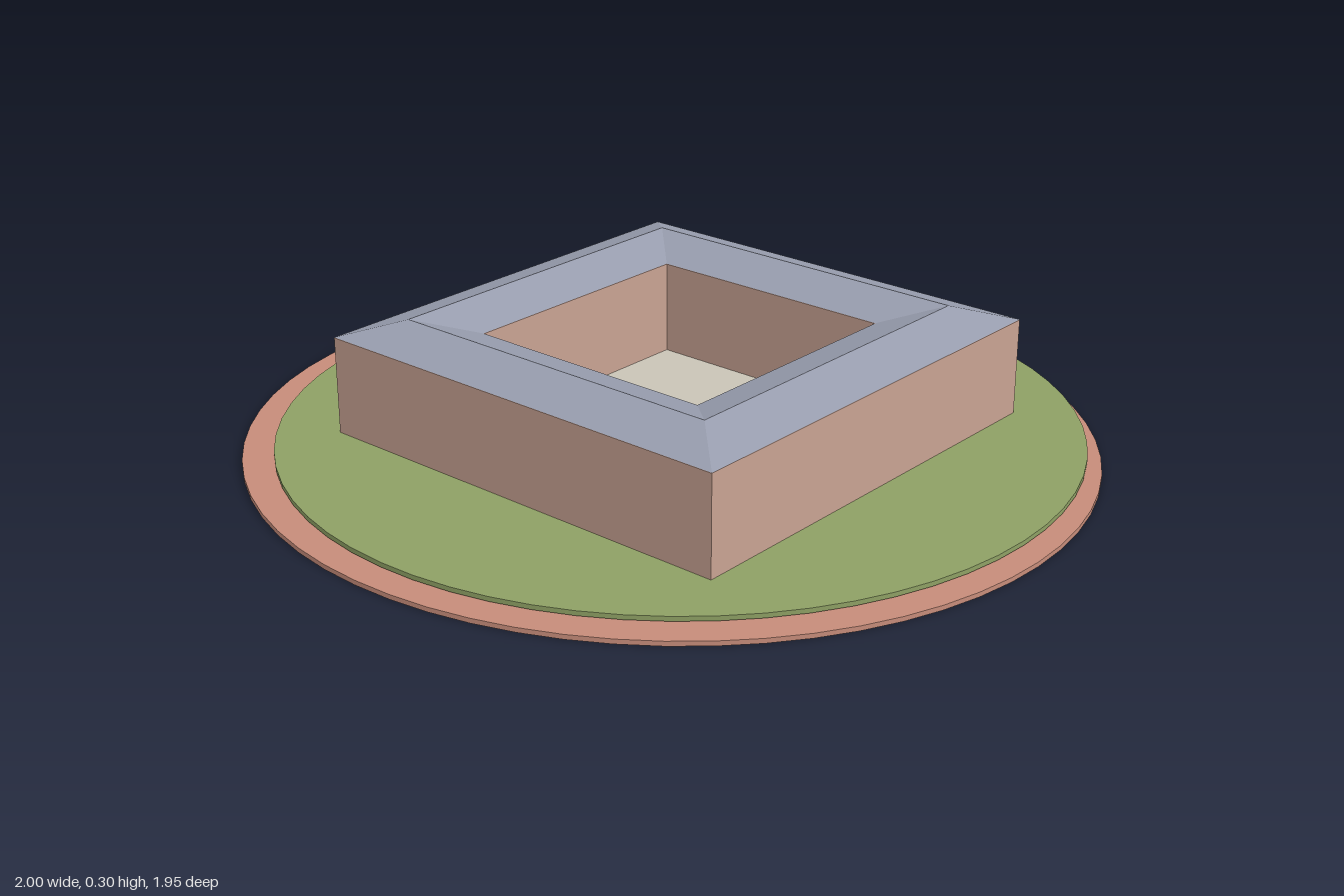
import * as THREE from 'three';

const mat = (name, color) => {
  const m = new THREE.MeshStandardMaterial({ color });
  m.name = name;
  return m;
};

export function createModel() {
  const clay = mat('clay red', 0xc68c7a);
  const grass = mat('grass green', 0x8ea064);
  const brick = mat('pale brick', 0xc8a292);
  const slate = mat('slate grey', 0x989dae);
  const paving = mat('paving beige', 0xc9c4b6);

  const group = new THREE.Group();
  const cz = -0.035; // centre of lawn and building

  const add = (name, geometry, material, y, z) => {
    const mesh = new THREE.Mesh(geometry, material);
    mesh.name = name;
    mesh.position.set(0, y, z);
    group.add(mesh);
    return mesh;
  };

  // Square ring swept from a profile of [half width, height], with flat faces
  const squareRing = (profile) => {
    const points = profile.map(([w, y]) => new THREE.Vector2(w * Math.SQRT2, y));
    const g = new THREE.LatheGeometry(points, 4, Math.PI / 4).toNonIndexed();
    g.computeVertexNormals();
    return g;
  };

  // Ground discs: slightly oval base and a round lawn set towards the back
  const base = add('groundBase', new THREE.CylinderGeometry(1, 1, 0.011, 64), clay, 0.0055, 0.004);
  base.scale.z = 0.97;
  add('lawn', new THREE.CylinderGeometry(0.94, 0.94, 0.011, 64), grass, 0.0195, cz);

  // Four wings around a courtyard
  add('walls', squareRing([[0.56, 0.015], [0.56, 0.26], [0.32, 0.26], [0.32, 0.015]]), brick, 0, cz);

  // Gabled ring roof, sloping out and in from the ridge
  add('roof', squareRing([[0.56, 0.261], [0.44, 0.3], [0.32, 0.261]]), slate, 0, cz);

  // Courtyard paving
  add('courtyardFloor', new THREE.BoxGeometry(0.64, 0.008, 0.64), paving, 0.026, cz);

  return group;
}
